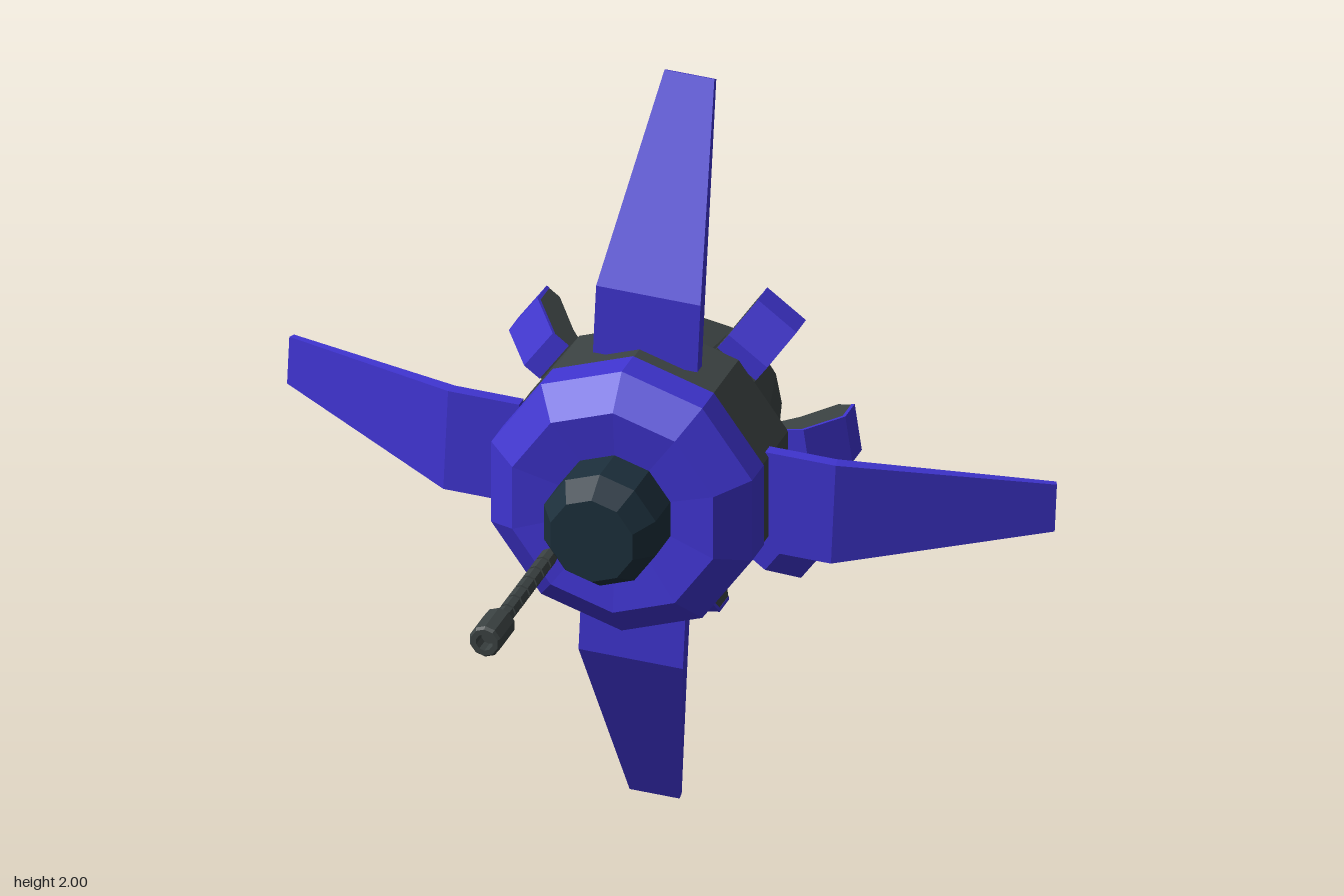
import * as THREE from 'three';

const paint = (color) => new THREE.MeshStandardMaterial({ color, flatShading: true, side: THREE.DoubleSide });
const DEG = Math.PI / 180;

// Turned part around the z axis; profile is [z, radius] from back to front
function turned(name, profile, sides, material) {
  const geo = new THREE.LatheGeometry(profile.map(([z, r]) => new THREE.Vector2(r, z)), sides);
  geo.rotateX(Math.PI / 2);
  const mesh = new THREE.Mesh(geo, material);
  mesh.name = name;
  return mesh;
}

// Side profile of [z, radius] points given a width that may change with radius
function plate(name, profile, width, material) {
  const shape = new THREE.Shape(profile.map(([z, r]) => new THREE.Vector2(z, r)));
  const geo = new THREE.ExtrudeGeometry(shape, { depth: 1, bevelEnabled: false });
  geo.translate(0, 0, -0.5);
  geo.rotateY(-Math.PI / 2);
  const p = geo.attributes.position;
  for (let i = 0; i < p.count; i++) p.setX(i, p.getX(i) * width(p.getY(i)));
  geo.computeVertexNormals();
  const mesh = new THREE.Mesh(geo, material);
  mesh.name = name;
  return mesh;
}

export function createModel() {
  const blue = paint(0x3f34d0);
  const grey = paint(0x3b4242);
  const glass = paint(0x1c2f3b);

  const model = new THREE.Group();
  model.name = 'starfighter';
  const ship = new THREE.Group();
  ship.name = 'ship';
  ship.position.y = 1;
  model.add(ship);

  // Hull: grey rear drum, blue bevelled front shell with a shallow dish
  ship.add(turned('rearHull', [[-0.34, 0], [-0.34, 0.28], [-0.26, 0.353], [-0.06, 0.353]], 10, grey));
  ship.add(turned('frontShell', [[-0.06, 0.34], [-0.06, 0.357], [0.03, 0.357], [0.1, 0.275], [0.085, 0.14]], 10, blue));

  // Cockpit canopy and engine bell
  ship.add(turned('cockpit', [[0.03, 0.153], [0.2, 0.153], [0.265, 0.112], [0.265, 0]], 10, glass));
  ship.add(turned('engine', [[-0.61, 0], [-0.61, 0.202], [-0.33, 0.282]], 16, grey));

  // Four bent, tapering wings
  const wingSide = [[-0.108, 0.32], [-0.108, 0.505], [-0.36, 1], [-0.376, 0.993], [-0.143, 0.498], [-0.143, 0.32]];
  const wingWidth = (r) => (r < 0.6 ? 0.272 : 0.13);
  for (let i = 0; i < 4; i++) {
    const wing = plate('wing', wingSide, wingWidth, blue);
    wing.rotation.z = i * 90 * DEG - 2.6 * DEG;
    ship.add(wing);
  }

  // Eight flared fins around the rear rim: grey block with a blue outer skin
  const finCore = [[-0.262, 0.32], [-0.262, 0.385], [-0.34, 0.466], [-0.41, 0.466], [-0.41, 0.43], [-0.335, 0.355], [-0.3, 0.3]];
  const finSkin = [[-0.258, 0.34], [-0.258, 0.39], [-0.338, 0.473], [-0.411, 0.473], [-0.411, 0.464], [-0.342, 0.464], [-0.264, 0.384], [-0.264, 0.34]];
  for (let i = 0; i < 8; i++) {
    const fin = new THREE.Group();
    fin.name = 'rimFin';
    fin.add(plate('finCore', finCore, () => 0.124, grey));
    fin.add(plate('finSkin', finSkin, () => 0.125, blue));
    fin.rotation.z = (53.5 - 90 + 45 * i) * DEG;
    ship.add(fin);
  }

  // Off-centre gun with a ribbed barrel and hollow muzzle
  const gun = new THREE.Group();
  gun.name = 'gun';
  gun.position.set(-0.163, -0.142, 0);
  const barrel = [[0.02, 0.019]];
  for (let z = 0.1; z < 0.48; z += 0.055) {
    barrel.push([z, 0.017], [z + 0.008, 0.017], [z + 0.008, 0.022], [z + 0.055, 0.022]);
  }
  gun.add(turned('barrel', barrel, 8, grey));
  gun.add(turned('muzzle', [[0.488, 0], [0.488, 0.036], [0.496, 0.042], [0.602, 0.042], [0.61, 0.036], [0.61, 0.022], [0.57, 0.022], [0.57, 0]], 10, grey));
  ship.add(gun);

  return model;
}
